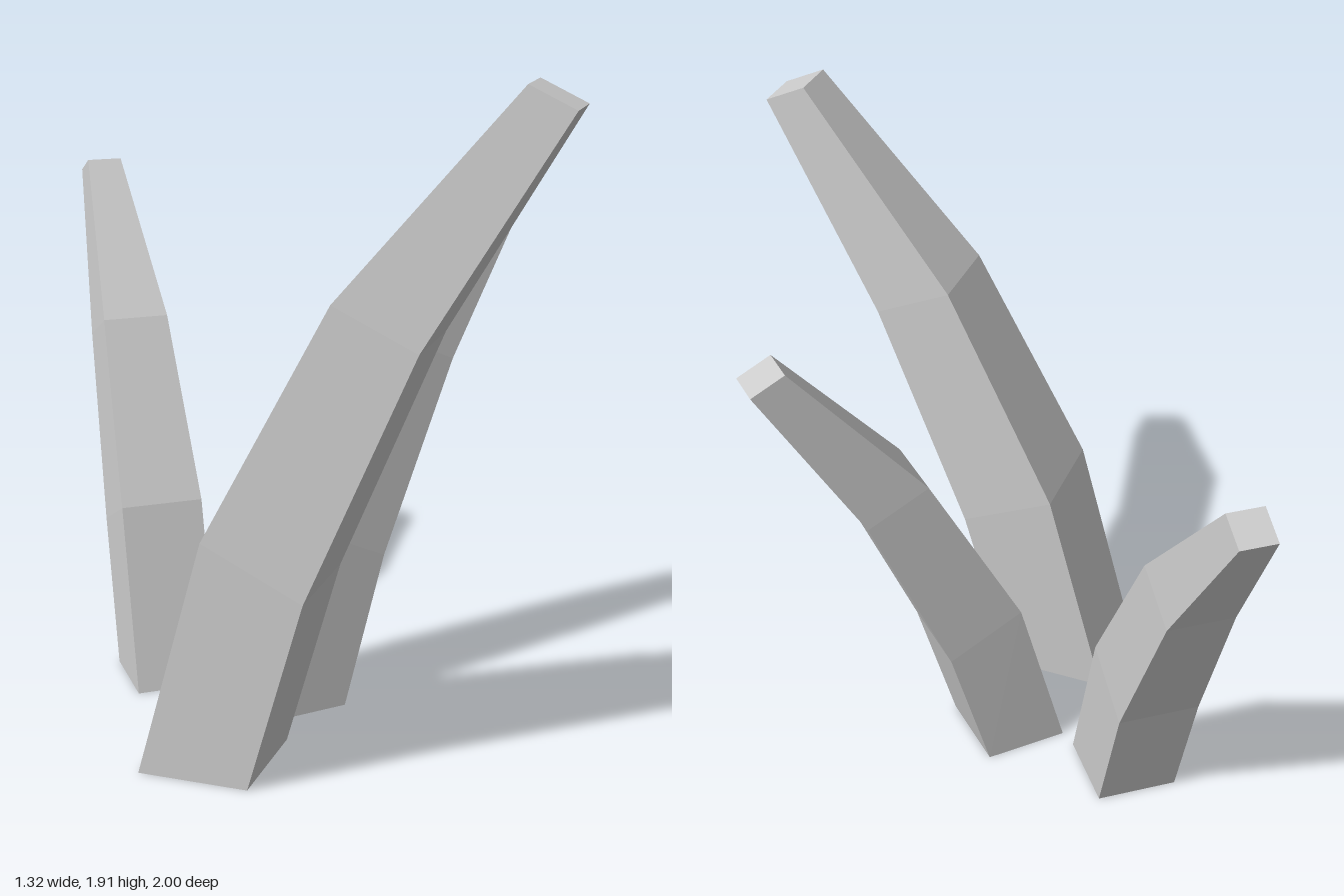
import * as THREE from 'three';

// Square sections along a blade that leans to +x: centre, width and tilt
const sections = [
  { x: 0, y: 0, width: 0.248, tilt: 0 },
  { x: 0.137, y: 0.485, width: 0.246, tilt: 0.45 },
  { x: 0.387, y: 1.01, width: 0.198, tilt: 0.44 },
  { x: 0.71, y: 1.463, width: 0.105, tilt: 0.44 },
];

// Bend and taper a box so that each of its rows follows one section
function bladeGeometry() {
  const geometry = new THREE.BoxGeometry(1, 1, 1, 1, sections.length - 1, 1);
  const p = geometry.attributes.position;
  for (let i = 0; i < p.count; i++) {
    const s = sections[Math.round((p.getY(i) + 0.5) * (sections.length - 1))];
    const across = p.getX(i) * s.width;
    p.setXYZ(
      i,
      s.x + across * Math.cos(s.tilt),
      s.y - across * Math.sin(s.tilt),
      p.getZ(i) * s.width
    );
  }
  geometry.computeVertexNormals();
  return geometry;
}

export function createModel() {
  const group = new THREE.Group();
  group.name = 'grassTuft';
  const material = new THREE.MeshStandardMaterial({ color: 0xcccccc, flatShading: true });
  const geometry = bladeGeometry();

  // The same blade at three sizes, each leaning its own way (degrees from +x towards +z)
  const blades = [
    { name: 'tallFrontBlade', x: -0.44, z: 0.343, size: 1.288, heading: 37.9 },
    { name: 'leftBlade', x: -0.13, z: 0.048, size: 1.044, heading: -8.5 },
    { name: 'backBlade', x: -0.416, z: -0.243, size: 1, heading: -90 },
  ];
  for (const b of blades) {
    const blade = new THREE.Mesh(geometry, material);
    blade.name = b.name;
    blade.position.set(b.x, 0, b.z);
    blade.rotation.y = -THREE.MathUtils.degToRad(b.heading);
    blade.scale.setScalar(b.size);
    group.add(blade);
  }
  return group;
}
